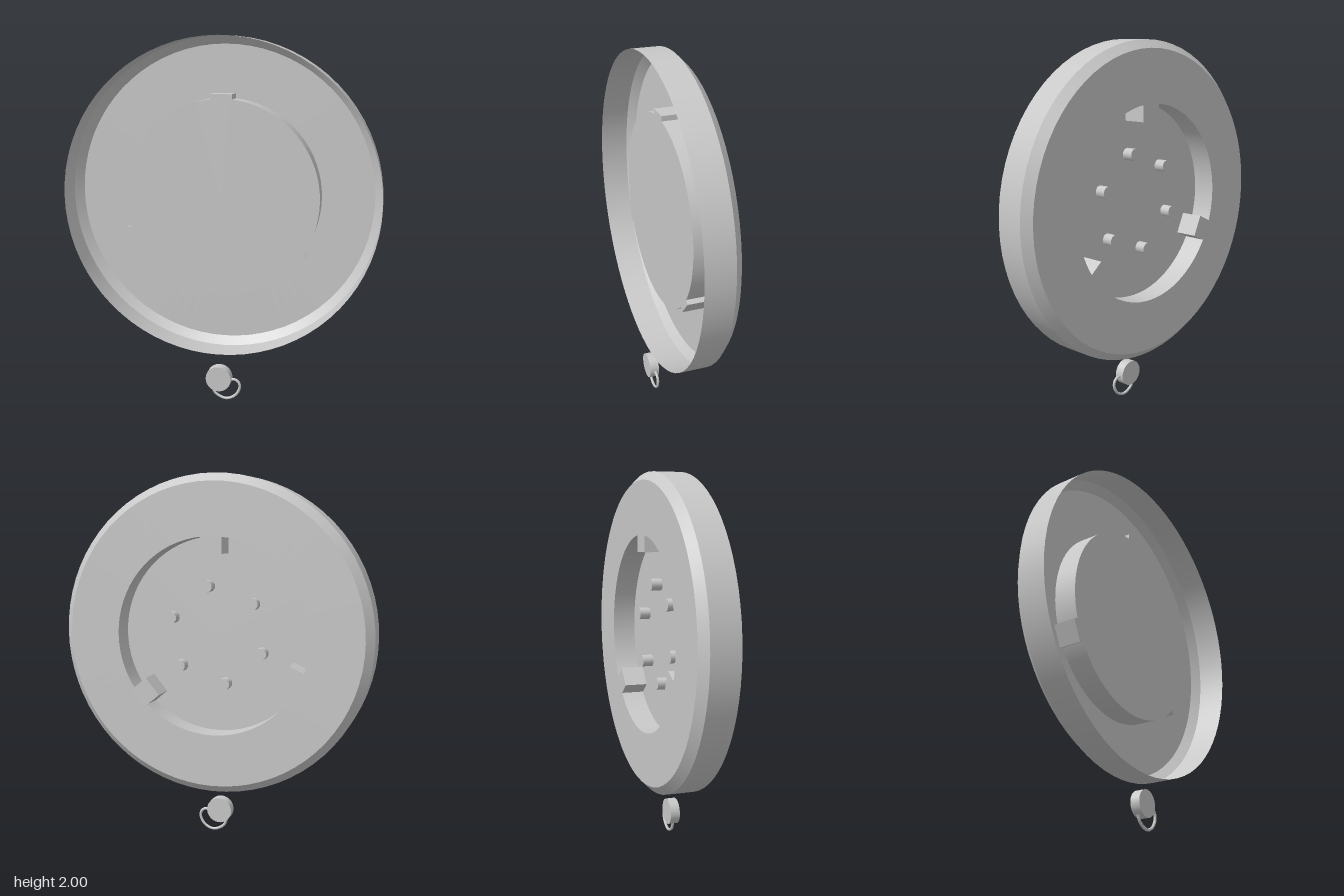
import * as THREE from 'three';

const CY = 1.137; // height of the disc centre
const FLOOR = 0.028, BACK = -0.1;

export function createModel() {
  const model = new THREE.Group();
  const grey = new THREE.MeshStandardMaterial({ color: 0xc8c8c8, side: THREE.DoubleSide });
  grey.name = 'plain grey';

  const add = (name, geometry, parent, x = 0, y = 0, z = 0) => {
    const mesh = new THREE.Mesh(geometry, grey);
    mesh.name = name;
    mesh.position.set(x, y, z);
    parent.add(mesh);
    return mesh;
  };

  const disc = new THREE.Group();
  disc.name = 'disc';
  disc.position.y = CY;
  model.add(disc);

  // Thin dished shell, one band per profile step so its edges stay sharp: [radius, z]
  const profile = [[0.863, 0.1], [0.863, -0.057], [0.82, BACK], [0.535, BACK], [0.535, FLOOR], [0, FLOOR]];
  const names = ['outerWall', 'chamfer', 'backPlate', 'socketWall', 'socketFloor'];
  names.forEach((name, i) => {
    const points = [profile[i + 1], profile[i]].map(([r, z]) => new THREE.Vector2(r, z));
    add(name, new THREE.LatheGeometry(points, 72).rotateX(Math.PI / 2), disc);
  });

  // Locating keys through the socket wall
  const inner = 0.443, outer = 0.559;
  for (const degrees of [90, 205, 320]) {
    const a = THREE.MathUtils.degToRad(degrees), r = (inner + outer) / 2;
    const key = add('locatingKey', new THREE.BoxGeometry(outer - inner, 0.12, FLOOR - BACK), disc,
      r * Math.cos(a), r * Math.sin(a), (FLOOR + BACK) / 2);
    key.rotation.z = a;
  }

  // Ring of contact pins on the back of the socket floor
  for (let i = 0; i < 6; i++) {
    const a = THREE.MathUtils.degToRad(19.5 + i * 60);
    add('contactPin', new THREE.CylinderGeometry(0.033, 0.033, 0.06, 10).rotateX(Math.PI / 2), disc,
      0.27 * Math.cos(a), 0.27 * Math.sin(a), FLOOR - 0.03);
  }

  // Small separate plug with a wire loop
  add('plug', new THREE.CylinderGeometry(0.071, 0.071, 0.053, 40).rotateX(Math.PI / 2), model, 0, 0.128, 0.0735);
  const loop = [[0.055, 0.118], [0.09, 0.122], [0.112, 0.105], [0.117, 0.078], [0.102, 0.042], [0.073, 0.017],
    [0.038, 0.008], [0.002, 0.019], [-0.025, 0.04], [-0.038, 0.07]];
  const curve = new THREE.CatmullRomCurve3(loop.map(([x, y]) => new THREE.Vector3(x, y, 0)));
  add('wireLoop', new THREE.TubeGeometry(curve, 40, 0.008, 8), model, 0, 0, 0.07);

  return model;
}
